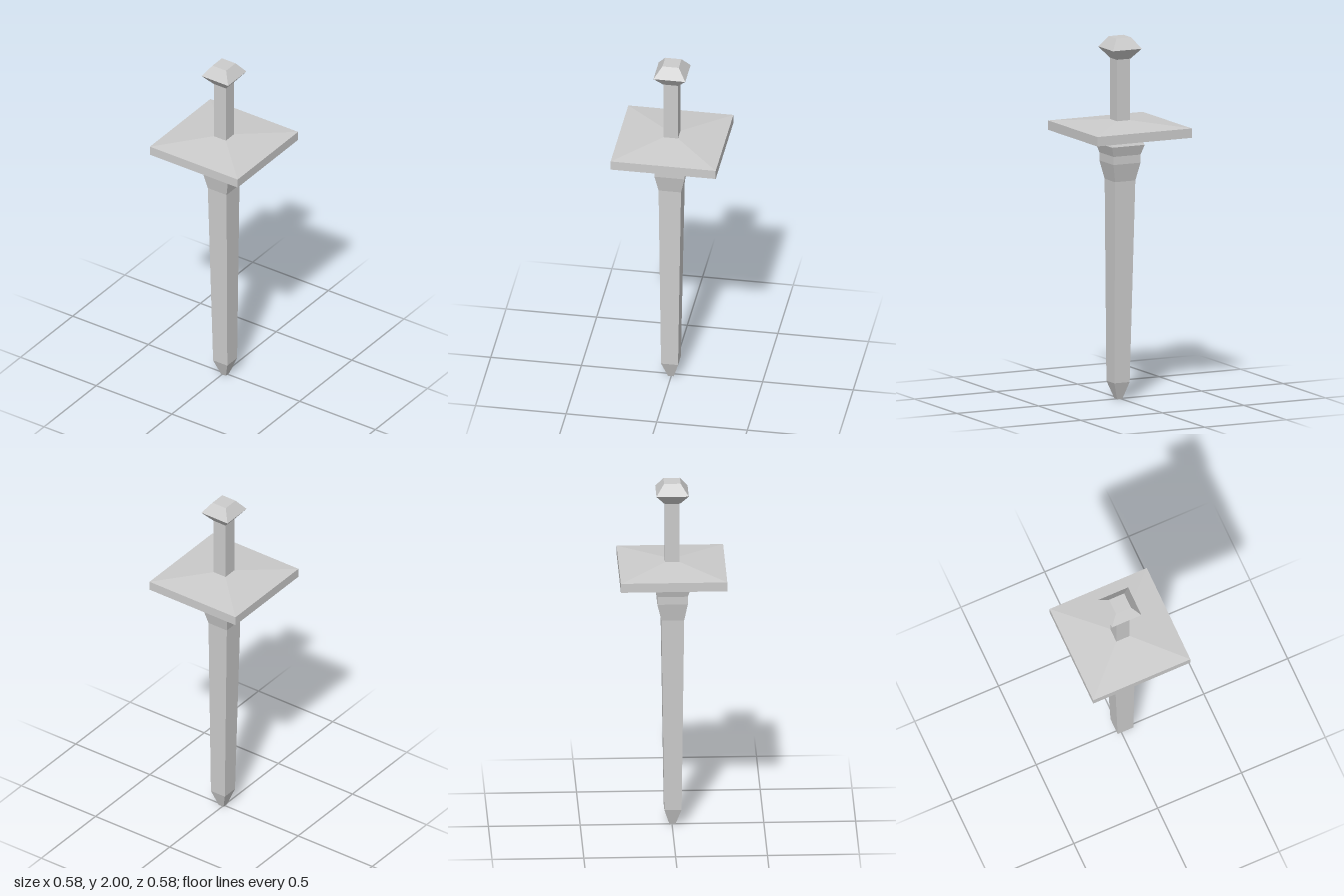
import * as THREE from 'three';

const material = new THREE.MeshStandardMaterial({ color: 0xcccccc, flatShading: true });

// Square-section loft; each ring is [y, half width, centre x, centre z], bottom to top.
function squareLoft(name, rings) {
  const corners = [[-1, 1], [1, 1], [1, -1], [-1, -1]];
  const positions = [];
  const index = [];
  for (const [y, half, cx = 0, cz = 0] of rings) {
    for (const [sx, sz] of corners) positions.push(cx + sx * half, y, cz + sz * half);
  }
  for (let r = 0; r < rings.length - 1; r++) {
    for (let i = 0; i < 4; i++) {
      const a = r * 4 + i;
      const b = r * 4 + (i + 1) % 4;
      index.push(a, b, b + 4, a, b + 4, a + 4);
    }
  }
  // End caps
  const t = (rings.length - 1) * 4;
  index.push(0, 2, 1, 0, 3, 2, t, t + 1, t + 2, t, t + 2, t + 3);

  const indexed = new THREE.BufferGeometry();
  indexed.setAttribute('position', new THREE.Float32BufferAttribute(positions, 3));
  indexed.setIndex(index);
  const geometry = indexed.toNonIndexed();
  geometry.computeVertexNormals();
  const mesh = new THREE.Mesh(geometry, material);
  mesh.name = name;
  return mesh;
}

export function createModel() {
  const sword = new THREE.Group();
  sword.name = 'sword';
  sword.add(
    // Tapering blade, drifting slightly off centre towards its blunt tip
    squareLoft('blade', [
      [0, 0.016, 0.009, 0.002],
      [0.095, 0.047, 0.01, 0.004],
      [1.21, 0.062, -0.001, 0.002],
    ]),
    // Flared collar between blade and guard
    squareLoft('collar', [
      [1.21, 0.062, -0.001, 0.002],
      [1.31, 0.083],
      [1.355, 0.083],
      [1.41, 0.1],
      [1.445, 0.083],
    ]),
    // Broad square guard with sloping faces
    squareLoft('guard', [
      [1.442, 0.075],
      [1.463, 0.29],
      [1.515, 0.29],
      [1.542, 0.04],
    ]),
    squareLoft('grip', [[1.54, 0.04], [1.885, 0.04]]),
    // Faceted pommel
    squareLoft('pommel', [[1.882, 0.042], [1.94, 0.088], [2, 0.045]]),
  );
  return sword;
}
